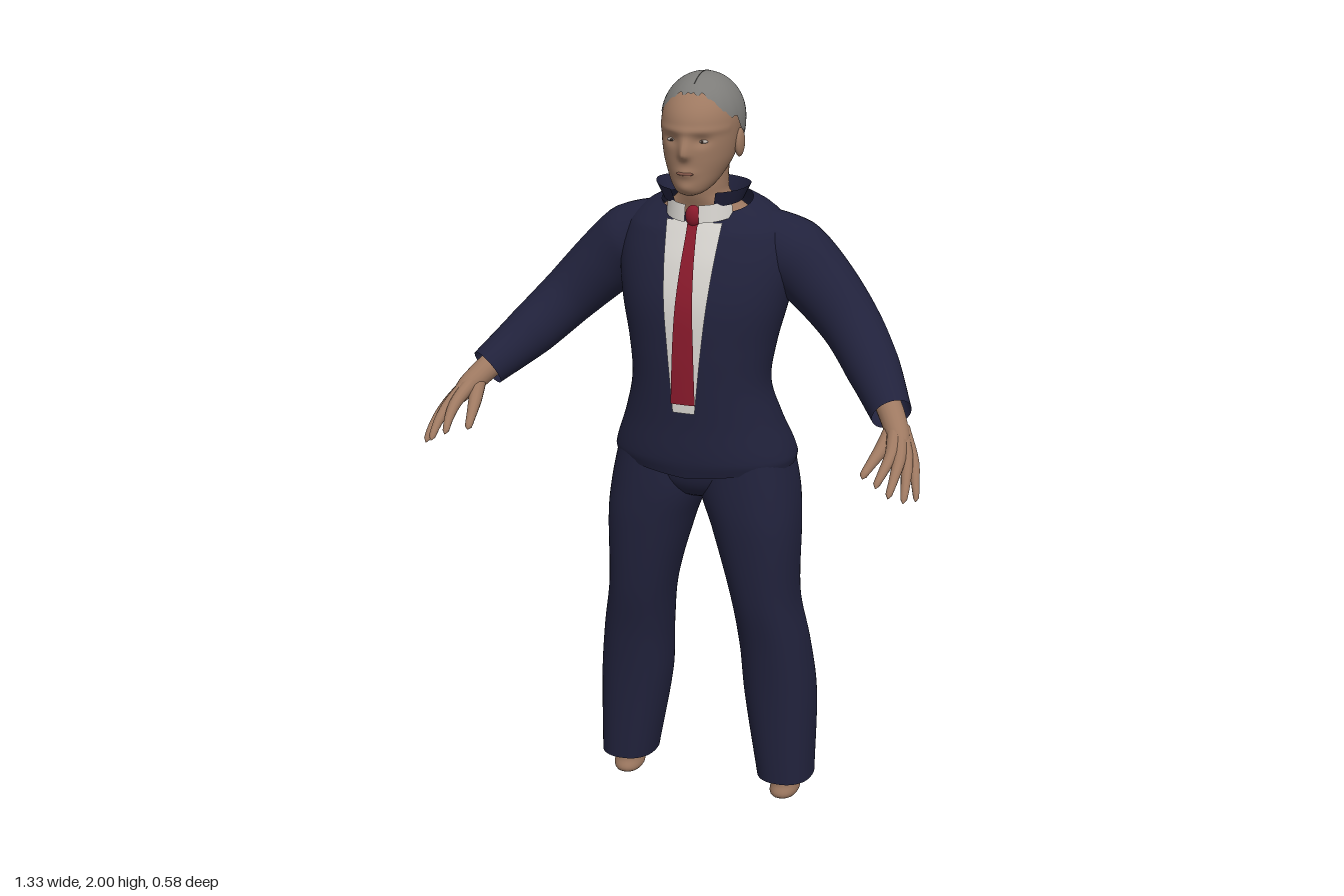
import * as THREE from 'three';

const mat = (name, color, side = THREE.FrontSide) => {
  const m = new THREE.MeshStandardMaterial({ color, side });
  m.name = name;
  return m;
};

// Surface from fn(u, v) -> [x, y, z]; wrap joins the u seam smoothly
function grid(cols, rows, fn, wrap = true) {
  const pos = [], idx = [], n = wrap ? cols : cols + 1;
  for (let j = 0; j <= rows; j++)
    for (let i = 0; i < n; i++) pos.push(...fn(i / cols, j / rows));
  for (let j = 0; j < rows; j++)
    for (let i = 0; i < cols; i++) {
      const a = j * n + i, b = j * n + (i + 1) % n;
      idx.push(a, b, b + n, a, b + n, a + n);
    }
  const g = new THREE.BufferGeometry();
  g.setAttribute('position', new THREE.Float32BufferAttribute(pos, 3));
  g.setIndex(idx);
  g.computeVertexNormals();
  return g;
}

// Smooth value of cross-sections [y, centreX, halfWidth, frontZ, backZ] at a height
function sectionAt(rings, y) {
  let k = 0;
  while (k < rings.length - 2 && y > rings[k + 1][0]) k++;
  const a = rings[k], b = rings[k + 1], p = rings[Math.max(k - 1, 0)], q = rings[Math.min(k + 2, rings.length - 1)];
  const h = b[0] - a[0], t = THREE.MathUtils.clamp((y - a[0]) / h, 0, 1), t2 = t * t, t3 = t2 * t;
  return a.map((v, i) => {
    const m0 = (b[i] - p[i]) / (b[0] - p[0]) * h, m1 = (q[i] - v) / (q[0] - a[0]) * h;
    return (2 * t3 - 3 * t2 + 1) * v + (t3 - 2 * t2 + t) * m0 + (3 * t2 - 2 * t3) * b[i] + (t3 - t2) * m1;
  });
}

function loft(rings, n = 2, cols = 48, rows = 48, warp = p => p) {
  const y0 = rings[0][0], y1 = rings[rings.length - 1][0];
  const pw = v => Math.sign(v) * Math.abs(v) ** (2 / n);
  return grid(cols, rows, (u, v) => {
    const y = y0 + (y1 - y0) * v, a = u * Math.PI * 2;
    const [, cx, rx, zf, zb] = sectionAt(rings, y);
    return warp([cx + rx * pw(Math.sin(a)), y, (zf + zb) / 2 + (zf - zb) / 2 * pw(Math.cos(a))]);
  });
}

// Tube through [x, y, z, radius] points
function limb(pts, cols = 24, rows = 30) {
  const curve = new THREE.CatmullRomCurve3(pts.map(p => new THREE.Vector3(p[0], p[1], p[2])));
  const { normals, binormals } = curve.computeFrenetFrames(rows, false);
  return grid(cols, rows, (u, v) => {
    const j = Math.round(v * rows), s = curve.getUtoTmapping(v) * (pts.length - 1);
    const k = Math.min(Math.floor(s), pts.length - 2), a = u * Math.PI * 2;
    const r = THREE.MathUtils.lerp(pts[k][3], pts[k + 1][3], s - k);
    return curve.getPointAt(v).addScaledVector(normals[j], r * Math.cos(a))
      .addScaledVector(binormals[j], r * Math.sin(a)).toArray();
  });
}

function mirrored(geo) {
  const g = geo.clone().scale(-1, 1, 1), ix = g.index;
  for (let i = 0; i < ix.count; i += 3) {
    const b = ix.getX(i + 1);
    ix.setX(i + 1, ix.getX(i + 2));
    ix.setX(i + 2, b);
  }
  g.computeVertexNormals();
  return g;
}

const blob = (x, y, z, sx, sy, sz) => new THREE.SphereGeometry(1, 20, 14).scale(sx, sy, sz).translate(x, y, z);
const bell = (d, w) => Math.exp(-((d / w) ** 2));

const TORSO = [
  [0.955, 0, 0.243, 0.05, -0.275], [1.0, 0, 0.245, 0.06, -0.285], [1.1, 0, 0.21, 0.06, -0.243],
  [1.2, 0, 0.185, 0.062, -0.208], [1.3, 0, 0.195, 0.062, -0.228], [1.42, 0, 0.222, 0.055, -0.262],
  [1.52, 0, 0.235, 0.03, -0.288], [1.6, 0, 0.215, -0.002, -0.268], [1.64, 0, 0.175, -0.02, -0.235],
  [1.67, 0, 0.12, -0.035, -0.195]];
const TORSO_N = 2.2;

const torsoFront = (x, y) => {
  const [, , rx, zf, zb] = sectionAt(TORSO, y);
  return (zf + zb) / 2 + (zf - zb) / 2 * (1 - Math.abs(x / rx) ** TORSO_N) ** (1 / TORSO_N);
};

// Thin cloth panel lying on the chest; widths are [y, halfWidth] rising in y
function chestPanel(widths, lift) {
  const rings = widths.map(([y, w]) => [y, w]);
  const y0 = rings[0][0], y1 = rings[rings.length - 1][0];
  return grid(8, 40, (u, v) => {
    const y = y0 + (y1 - y0) * v, x = (u * 2 - 1) * sectionAt(rings, y)[1];
    return [x, y, torsoFront(x, y) + lift];
  }, false);
}

// Open collar band between two angles measured from the front
function band(a0, a1, yTop, yLow, rTop, rLow, rz, droop) {
  return grid(30, 3, (u, v) => {
    const a = a0 + (a1 - a0) * u, r = rLow + (rTop - rLow) * v;
    const front = Math.max(0, Math.cos(a));
    return [r * Math.sin(a), yLow + (yTop - yLow) * v - droop * front, -0.085 + rz * Math.cos(a) * (r / rTop)];
  }, false);
}

export function createModel() {
  const group = new THREE.Group();
  const navy = mat('navy cloth', 0x21223c, THREE.DoubleSide);
  const skin = mat('skin', 0x9e7961);
  const hairGrey = mat('grey hair', 0x7d7c79, THREE.DoubleSide);
  const partGrey = mat('dark hair parting', 0x4a4a49);
  const white = mat('white shirt', 0xd8d5d0, THREE.DoubleSide);
  const red = mat('red tie', 0x8a1a2c, THREE.DoubleSide);
  const lipTone = mat('lips', 0x85594b);
  const eyeTone = mat('eye white', 0xb9b0a8);
  const iris = mat('iris', 0x3a2e28);
  const add = (name, geo, m) => {
    const mesh = new THREE.Mesh(geo, m);
    mesh.name = name;
    group.add(mesh);
  };
  const pair = (name, geo, m) => {
    add(name + 'Left', geo, m);
    add(name + 'Right', mirrored(geo), m);
  };

  // Jacket: back groove, raised side hem, neckline lower at the front
  add('jacket', loft(TORSO, TORSO_N, 64, 60, ([x, y, z]) => {
    const neck = THREE.MathUtils.clamp((y - 1.6) / 0.07, 0, 1);
    const hem = THREE.MathUtils.clamp((1.0 - y) / 0.045, 0, 1);
    const groove = z < -0.12 ? 0.02 * bell(x, 0.035) : 0;
    return [x, y - neck * (z + 0.115) * 0.3 + hem * 0.02 * Math.min(1, Math.abs(x) / 0.2), z + groove];
  }), navy);
  pair('sleeve', limb([[0.13, 1.575, -0.14, 0.08], [0.22, 1.53, -0.15, 0.098], [0.3, 1.46, -0.145, 0.09],
    [0.39, 1.37, -0.115, 0.078], [0.47, 1.285, -0.045, 0.07], [0.553, 1.203, 0.063, 0.052]], 32, 40), navy);
  add('jacketCollar', band(0.5, Math.PI * 2 - 0.5, 1.72, 1.68, 0.125, 0.105, 0.09, 0.012), navy);

  // Shirt and tie
  add('shirtFront', chestPanel([[1.14, 0.03], [1.3, 0.045], [1.45, 0.06], [1.63, 0.075]], 0.005), white);
  pair('shirtCollar', band(0.2, 1.25, 1.69, 1.645, 0.09, 0.095, 0.088, 0.015), white);
  add('tie', chestPanel([[1.165, 0.033], [1.35, 0.027], [1.6, 0.014], [1.625, 0.014]], 0.011), red);
  add('tieKnot', blob(0, 1.645, -0.008, 0.021, 0.028, 0.016), red);

  // Trousers
  pair('trouserLeg', loft([[0.06, 0.23, 0.076, -0.04, -0.215], [0.3, 0.21, 0.096, -0.03, -0.237],
    [0.45, 0.197, 0.093, -0.015, -0.222], [0.6, 0.175, 0.09, 0.01, -0.205], [0.8, 0.147, 0.117, 0.028, -0.226],
    [0.9, 0.125, 0.13, 0.03, -0.25], [1.02, 0.115, 0.115, 0.025, -0.25]], 2.3), navy);
  add('trouserSeat', loft([[0.86, 0, 0.01, -0.08, -0.14], [0.89, 0, 0.09, -0.01, -0.21],
    [0.95, 0, 0.215, 0.022, -0.248], [1.05, 0, 0.18, 0.02, -0.21]], 2.2, 48, 20), navy);

  // Ankles
  pair('ankle', loft([[0, 0.23, 0.004, -0.11, -0.12], [0.004, 0.23, 0.034, -0.066, -0.168],
    [0.04, 0.232, 0.037, -0.068, -0.17], [0.16, 0.228, 0.036, -0.08, -0.17]], 2.2, 24, 40), skin);

  // Hands: wrist, palm and fanned fingers
  pair('wrist', limb([[0.5, 1.255, -0.005, 0.034], [0.553, 1.203, 0.063, 0.033], [0.585, 1.165, 0.115, 0.03],
    [0.605, 1.135, 0.155, 0.018]], 18, 14), skin);
  const fingers = {
    thumb: [[0.565, 1.18, 0.09, 0.02], [0.553, 1.14, 0.145, 0.018], [0.541, 1.115, 0.195, 0.013], [0.532, 1.095, 0.235, 0.009]],
    index: [[0.572, 1.185, 0.09, 0.022], [0.588, 1.142, 0.185, 0.016], [0.584, 1.115, 0.24, 0.012], [0.577, 1.09, 0.277, 0.008]],
    middle: [[0.578, 1.18, 0.09, 0.024], [0.608, 1.133, 0.185, 0.017], [0.613, 1.103, 0.245, 0.012], [0.612, 1.072, 0.288, 0.008]],
    ring: [[0.582, 1.175, 0.088, 0.024], [0.624, 1.122, 0.172, 0.016], [0.637, 1.085, 0.225, 0.012], [0.642, 1.053, 0.258, 0.008]],
    little: [[0.585, 1.175, 0.085, 0.022], [0.637, 1.112, 0.152, 0.014], [0.651, 1.073, 0.185, 0.01], [0.66, 1.042, 0.207, 0.007]],
  };
  for (const [name, p] of Object.entries(fingers)) {
    const [x, y, z] = p[3];
    pair(name + 'Finger', limb([...p, [x, y - 0.006, z + 0.006, 0.0005]], 12, 18), skin);
  }

  // Neck and upper chest
  add('neck', loft([[1.57, 0, 0.16, -0.035, -0.215], [1.63, 0, 0.135, -0.035, -0.205], [1.66, 0, 0.098, -0.03, -0.185],
    [1.69, 0, 0.066, -0.02, -0.168], [1.72, 0, 0.061, -0.015, -0.163], [1.79, 0, 0.065, -0.02, -0.165]], 2, 40, 36), skin);

  // Head with nose, brow, eye sockets, lips and chin raised from the face
  add('head', loft([[1.703, 0, 0.006, 0.025, 0.01], [1.712, 0, 0.032, 0.043, -0.025], [1.73, 0, 0.053, 0.051, -0.08],
    [1.765, 0, 0.074, 0.053, -0.135], [1.8, 0, 0.088, 0.055, -0.17], [1.85, 0, 0.096, 0.056, -0.19],
    [1.9, 0, 0.097, 0.052, -0.198], [1.94, 0, 0.085, 0.027, -0.185], [1.97, 0, 0.06, -0.015, -0.155],
    [1.988, 0, 0.005, -0.075, -0.085]], 2, 88, 72, ([x, y, z]) => {
    if (z < -0.03) return [x, y, z];
    const ax = Math.abs(x);
    const nose = 0.021 * bell(x, 0.014) * bell(y - 1.815, y > 1.815 ? 0.034 : 0.014);
    const face = -0.009 * bell(ax - 0.04, 0.02) * bell(y - 1.848, 0.014) + 0.004 * bell(y - 1.873, 0.01)
      + 0.006 * bell(x, 0.025) * bell(y - 1.766, 0.012) + 0.004 * bell(x, 0.02) * bell(y - 1.728, 0.012);
    return [x, y, z + nose + face];
  }), skin);
  pair('ear', blob(0.098, 1.826, -0.083, 0.012, 0.037, 0.024).rotateY(0.02), skin);
  pair('eye', blob(0.04, 1.847, 0.034, 0.014, 0.005, 0.007), eyeTone);
  pair('iris', blob(0.04, 1.847, 0.039, 0.004, 0.0042, 0.004), iris);
  add('lips', blob(0, 1.766, 0.054, 0.023, 0.005, 0.007), lipTone);

  // Hair cap: the hairline drops from forehead to nape with a jagged edge
  const hairPoint = (a, y, grow = 0) => {
    const t = (y - 1.885) / (y > 1.885 ? 0.115 : 0.17), r = Math.sqrt(Math.max(0, 1 - t * t));
    return [(0.105 + grow) * r * Math.sin(a), y, -0.085 + (0.125 + grow) * r * Math.cos(a)];
  };
  const hairline = a => {
    const d = Math.abs(a > Math.PI ? a - Math.PI * 2 : a);
    const s = THREE.MathUtils.smoothstep;
    return 1.958 - 0.058 * s(d, 0.35, 1.2) - 0.045 * s(d, 1.25, 1.6) - 0.065 * s(d, 1.85, 2.2) + 0.004 * Math.sin(d * 21);
  };
  add('hair', grid(72, 28, (u, v) => {
    const a = u * Math.PI * 2, low = hairline(a);
    return hairPoint(a, low + (2.0 - low) * Math.sin(v * Math.PI / 2));
  }), hairGrey);
  const parting = [];
  for (let i = 0; i <= 16; i++) {
    const e = 0.95 + i / 16 * 2.1;
    parting.push(new THREE.Vector3(0, 1.885 + 0.1145 * Math.sin(e), -0.085 + 0.1245 * Math.cos(e)));
  }
  add('hairParting', new THREE.TubeGeometry(new THREE.CatmullRomCurve3(parting), 40, 0.0016, 6), partGrey);

  return group;
}
